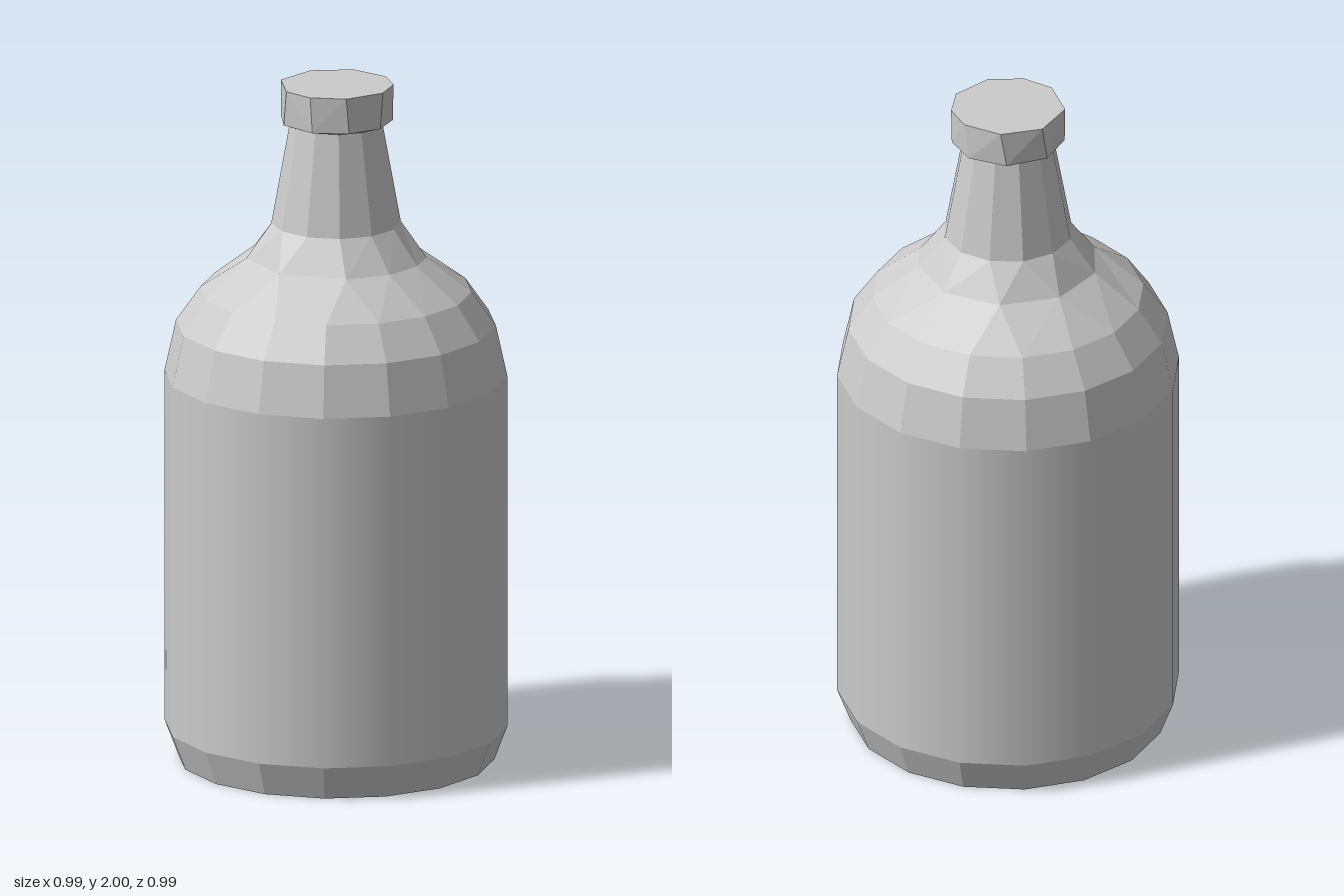
import * as THREE from 'three';

const flat = new THREE.MeshStandardMaterial({ color: 0xcccccc, flatShading: true });
const smooth = new THREE.MeshStandardMaterial({ color: 0xcccccc });

// A ring is a height, a radius and the angles (degrees, from +x towards +z) of its corners
const ring = (y, r, angles) => ({
  angles,
  points: angles.map((d) => {
    const a = THREE.MathUtils.degToRad(d);
    return [r * Math.cos(a), y, r * Math.sin(a)];
  }),
});
const even = (n) => Array.from({ length: n }, (_, i) => (i * 360) / n);

// Joins two rings, which may have different numbers of corners, with triangles
function band(out, low, up) {
  const n = low.points.length, m = up.points.length;
  const next = (rg, i, count) => (i + 1 < count ? rg.angles[i + 1] : rg.angles[0] + 360);
  let i = 0, j = 0;
  while (i < n || j < m) {
    const l = low.points[i % n], u = up.points[j % m];
    if (j >= m || (i < n && next(low, i, n) <= next(up, j, m))) {
      out.push(...l, ...u, ...low.points[(i + 1) % n]);
      i++;
    } else {
      out.push(...u, ...up.points[(j + 1) % m], ...l);
      j++;
    }
  }
}

// Closes a ring with a flat fan facing up or down
function lid(out, { points }, up) {
  const centre = [0, points[0][1], 0];
  points.forEach((p, i) => {
    const q = points[(i + 1) % points.length];
    out.push(...centre, ...(up ? q : p), ...(up ? p : q));
  });
}

// Faceted surface through a stack of rings, listed from bottom to top
function stack(name, rings, { top = false, bottom = false } = {}) {
  const pos = [];
  for (let i = 0; i + 1 < rings.length; i++) band(pos, rings[i], rings[i + 1]);
  if (bottom) lid(pos, rings[0], false);
  if (top) lid(pos, rings[rings.length - 1], true);
  const geo = new THREE.BufferGeometry();
  geo.setAttribute('position', new THREE.Float32BufferAttribute(pos, 3));
  geo.computeVertexNormals();
  const mesh = new THREE.Mesh(geo, flat);
  mesh.name = name;
  return mesh;
}

export function createModel() {
  const group = new THREE.Group();
  group.name = 'bottle';
  const R = 0.493, s16 = even(16), s12 = even(12);

  // Base with a bevelled foot
  group.add(stack('base', [ring(0, 0.455, s16), ring(0.1, R, s16)], { bottom: true }));

  // Smooth straight wall
  const wall = new THREE.Mesh(new THREE.CylinderGeometry(R, R, 1.04, 16, 1, true), smooth);
  wall.name = 'wall';
  wall.position.y = 0.62;
  group.add(wall);

  // Faceted shoulder, with an uneven ring where it flows into the neck
  const uneven = [0, 27, 57, 102, 146, 180, 219, 259, 298, 337];
  group.add(stack('shoulder', [
    ring(1.14, R, s16),
    ring(1.29, 0.46, s16),
    ring(1.39, 0.39, s16),
    ring(1.49, 0.26, uneven),
    ring(1.59, 0.186, s12),
  ]));

  // Tapered neck
  group.add(stack('neck', [ring(1.59, 0.186, s12), ring(1.89, 0.132, s12)]));

  // Roughly cut cap with a narrow underside
  const capTop = [9, 53, 90, 123, 170, 217, 261, 303, 335];
  const capLow = [12, 50, 88, 130, 168, 210, 255, 297, 335];
  group.add(stack('cap', [
    ring(1.885, 0.13, s12),
    ring(1.895, 0.163, capLow),
    ring(2, 0.165, capTop),
  ], { top: true }));

  return group;
}
